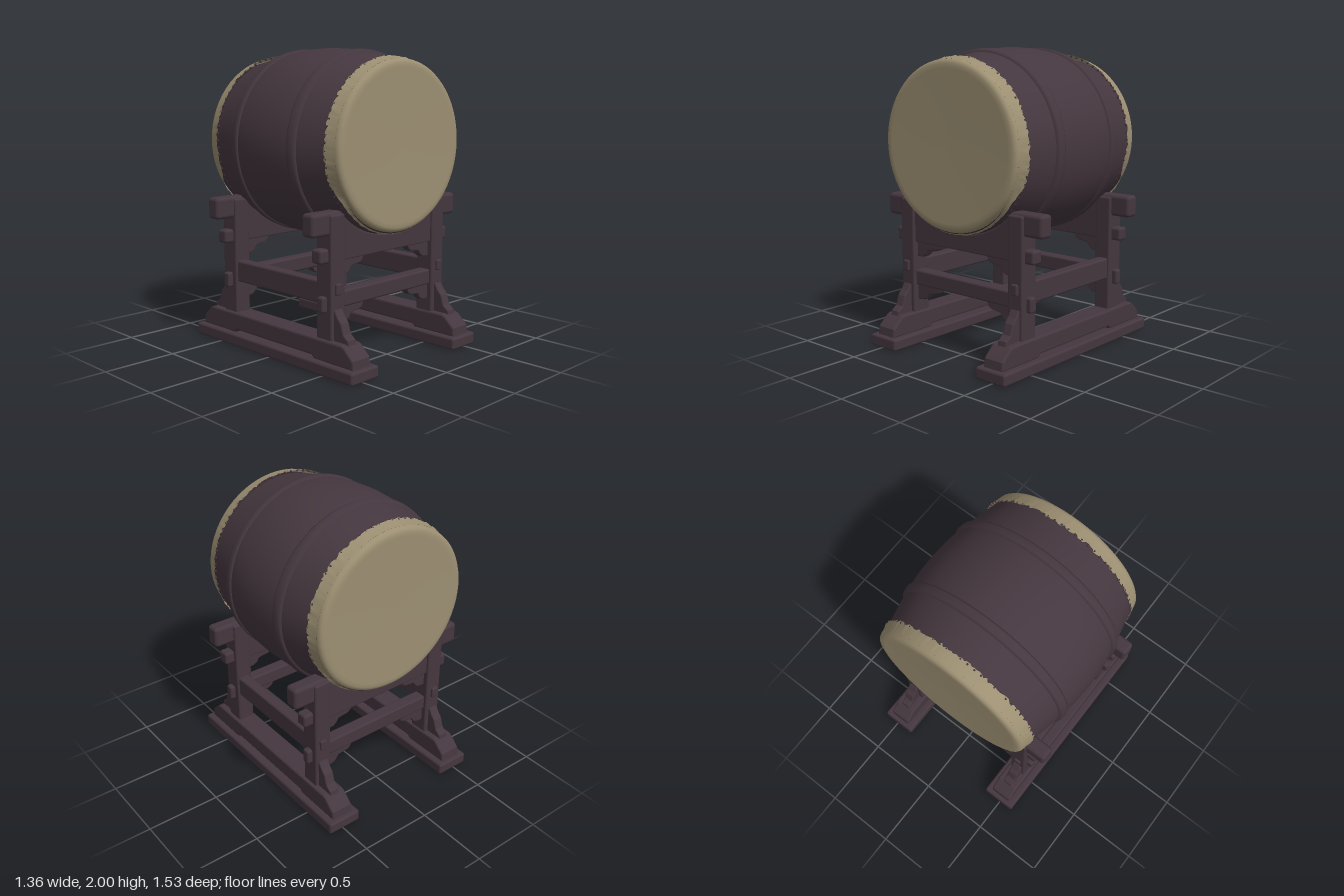
import * as THREE from 'three';
import { RoundedBoxGeometry } from 'three/addons/geometries/RoundedBoxGeometry.js';
import { mergeGeometries } from 'three/addons/utils/BufferGeometryUtils.js';

const wood = new THREE.MeshStandardMaterial({ color: 0x45373f });
wood.name = 'dark wood';
const hide = new THREE.MeshStandardMaterial({ color: 0x9c8f72, side: THREE.DoubleSide });
hide.name = 'hide';

function add(parent, name, geometry, material = wood) {
  const mesh = new THREE.Mesh(geometry, material);
  mesh.name = name;
  parent.add(mesh);
  return mesh;
}

// Rounded timber given by its extents on each axis
function timber(parent, name, [x0, x1], [y0, y1], [z0, z1], r = 0.014) {
  const mesh = add(parent, name, new RoundedBoxGeometry(x1 - x0, y1 - y0, z1 - z0, 2, r));
  mesh.position.set((x0 + x1) / 2, (y0 + y1) / 2, (z0 + z1) / 2);
  return mesh;
}

// Softly bevelled board, centred on its thickness
function board(points, thickness, bevel = 0.008) {
  const shape = new THREE.Shape(points.map(([x, y]) => new THREE.Vector2(x, y)));
  const g = new THREE.ExtrudeGeometry(shape, {
    depth: thickness - 2 * bevel, bevelThickness: bevel, bevelSize: bevel,
    bevelOffset: -bevel, bevelSegments: 2, curveSegments: 8,
  });
  return g.translate(0, 0, bevel - thickness / 2);
}

// Surface of revolution around z from [z, radius] pairs
function turned(profile, segments = 64) {
  const pts = profile.map(([z, r]) => new THREE.Vector2(r, z));
  return new THREE.LatheGeometry(pts, segments).rotateX(Math.PI / 2);
}

function seeded(seed) {
  return () => (seed = (seed * 16807) % 2147483647) / 2147483647;
}

// Ragged strip of hide folded over the barrel, mostly trimmed away underneath
function skirtGeometry(seed) {
  const rand = seeded(seed), n = 200, pos = [], index = [];
  for (let i = 0; i < n; i++) {
    const a = (i / n) * Math.PI * 2;
    const cover = THREE.MathUtils.smoothstep(Math.sin(a), -0.6, -0.3);
    const edge = 0.58 - 0.012 - cover * (0.044 + 0.02 * rand());
    for (const [z, r] of [[0.588, 0.57], [(edge + 0.588) / 2, 0.577], [edge, 0.585 + 0.005 * rand()]]) {
      pos.push(r * Math.cos(a), r * Math.sin(a), z);
    }
    const p = i * 3, q = ((i + 1) % n) * 3;
    for (const k of [0, 1]) {
      index.push(p + k, p + k + 1, q + k, q + k, p + k + 1, q + k + 1);
    }
  }
  const g = new THREE.BufferGeometry();
  g.setAttribute('position', new THREE.Float32BufferAttribute(pos, 3));
  g.setIndex(index);
  g.computeVertexNormals();
  return g;
}

function buildDrum() {
  const drum = new THREE.Group();
  drum.name = 'drum';
  drum.position.y = 1.37;
  drum.scale.y = 0.962;

  // Barrel with its narrow rims
  const half = [[0.15, 0.647], [0.25, 0.633], [0.35, 0.613], [0.45, 0.591], [0.52, 0.575], [0.585, 0.564], [0.6, 0.5]];
  const back = half.map(([z, r]) => [-z, r]).reverse();
  add(drum, 'barrel', turned([...back, [0, 0.655], ...half]));

  for (const s of [1, -1]) {
    // Raised hoop
    const hoop = [[-0.036, 0.62], [-0.034, 0.641], [-0.02, 0.648], [0.02, 0.642], [0.034, 0.63], [0.036, 0.61]];
    const ring = add(drum, 'hoop', turned(hoop));
    ring.position.z = 0.27 * s;
    if (s < 0) ring.rotation.y = Math.PI;

    // Drum head, folded edge and tacks
    const end = new THREE.Group();
    end.name = s > 0 ? 'frontHead' : 'backHead';
    end.position.y = 0.014;
    if (s < 0) end.rotation.y = Math.PI;
    drum.add(end);
    const skin = [[0.588, 0.57], [0.602, 0.567], [0.614, 0.557], [0.621, 0.54], [0.623, 0.51], [0.619, 0.4], [0.617, 0]];
    add(end, 'skin', turned(skin), hide);
    add(end, 'foldedHide', skirtGeometry(s > 0 ? 11 : 47), hide);
    const tacks = [];
    for (let i = 0; i < 72; i++) {
      const a = (i / 72) * Math.PI * 2;
      tacks.push(new THREE.SphereGeometry(0.009, 6, 4)
        .translate(0.58 * Math.cos(a), 0.58 * Math.sin(a), 0.517));
    }
    add(end, 'tacks', mergeGeometries(tacks));
  }
  return drum;
}

// Cross frame: two posts, cradle board, ties and carved brackets, centred on z = 0
function buildFrame() {
  const frame = new THREE.Group();
  const cradle = [[-0.44, 0.7], [0.44, 0.7], [0.44, 1.0]];
  for (let i = 0; i <= 24; i++) {
    const x = 0.42 - (0.84 * i) / 24;
    cradle.push([x, 1.37 - 0.555 * Math.sqrt(1 - (x / 0.585) ** 2)]);
  }
  cradle.push([-0.44, 1.0]);
  add(frame, 'cradleBoard', board(cradle, 0.1));
  timber(frame, 'middleRail', [-0.45, 0.45], [0.4, 0.505], [-0.045, 0.045]);

  const bracket = [[0.43, 0], [0.43, -0.105], [0.37, -0.1], [0.345, -0.085], [0.325, -0.055],
    [0.295, -0.05], [0.25, -0.045], [0.225, -0.03], [0.205, 0.01], [0.43, 0.01]];
  for (const s of [1, -1]) {
    const span = (a, b) => (s > 0 ? [a, b] : [-b, -a]);
    timber(frame, 'post', span(0.42, 0.54), [0.19, 0.995], [-0.068, 0.068]);
    timber(frame, 'beamEnd', span(0.41, 0.68), [0.865, 1.012], [-0.052, 0.052], 0.025);
    timber(frame, 'upperTieEnd', span(0.5, 0.607), [0.695, 0.785], [-0.042, 0.042], 0.018);
    timber(frame, 'lowerTieEnd', span(0.5, 0.577), [0.385, 0.485], [-0.028, 0.028], 0.014);
    for (const y of [0.7, 0.4]) {
      const points = bracket.map(([x, h]) => [s * x, h]);
      add(frame, 'carvedBracket', board(points, 0.06)).position.y = y;
    }
  }
  return frame;
}

// Long foot with runner, side rail and curved braces, centred on x = 0
function buildFoot() {
  const foot = new THREE.Group();
  timber(foot, 'footPlate', [-0.12, 0.12], [0, 0.08], [-0.765, 0.765], 0.016);
  const runner = [[0.37, 0.096], [0.39, 0.075], [0.735, 0.075], [0.73, 0.135], [0.71, 0.155],
    [0.655, 0.205], [0.63, 0.213]];
  const mirrored = runner.map(([z, y]) => [-z, y]).reverse();
  add(foot, 'runner', board([...runner, ...mirrored], 0.155, 0.012)).rotation.y = -Math.PI / 2;

  timber(foot, 'sideRail', [-0.04, 0.04], [0.425, 0.57], [-0.45, 0.45]);
  const brace = [[0.5, 0.2], [0.655, 0.2], [0.65, 0.235], [0.61, 0.265], [0.59, 0.33],
    [0.56, 0.365], [0.535, 0.405], [0.5, 0.405]];
  for (const s of [1, -1]) {
    const pin = timber(foot, 'railEnd', [-0.025, 0.025], [0.495, 0.568], [0.47, 0.545], 0.01);
    pin.position.z *= s;
    const b = add(foot, 'brace', board(brace, 0.07));
    b.rotation.y = (-s * Math.PI) / 2;
  }
  return foot;
}

export function createModel() {
  const model = new THREE.Group();
  model.name = 'drumOnStand';
  model.add(buildDrum());
  for (const s of [1, -1]) {
    const frame = buildFrame();
    frame.name = s > 0 ? 'frontFrame' : 'backFrame';
    frame.position.z = 0.46 * s;
    model.add(frame);
    const foot = buildFoot();
    foot.name = s > 0 ? 'leftFoot' : 'rightFoot';
    foot.position.x = 0.485 * s;
    model.add(foot);
  }
  return model;
}
